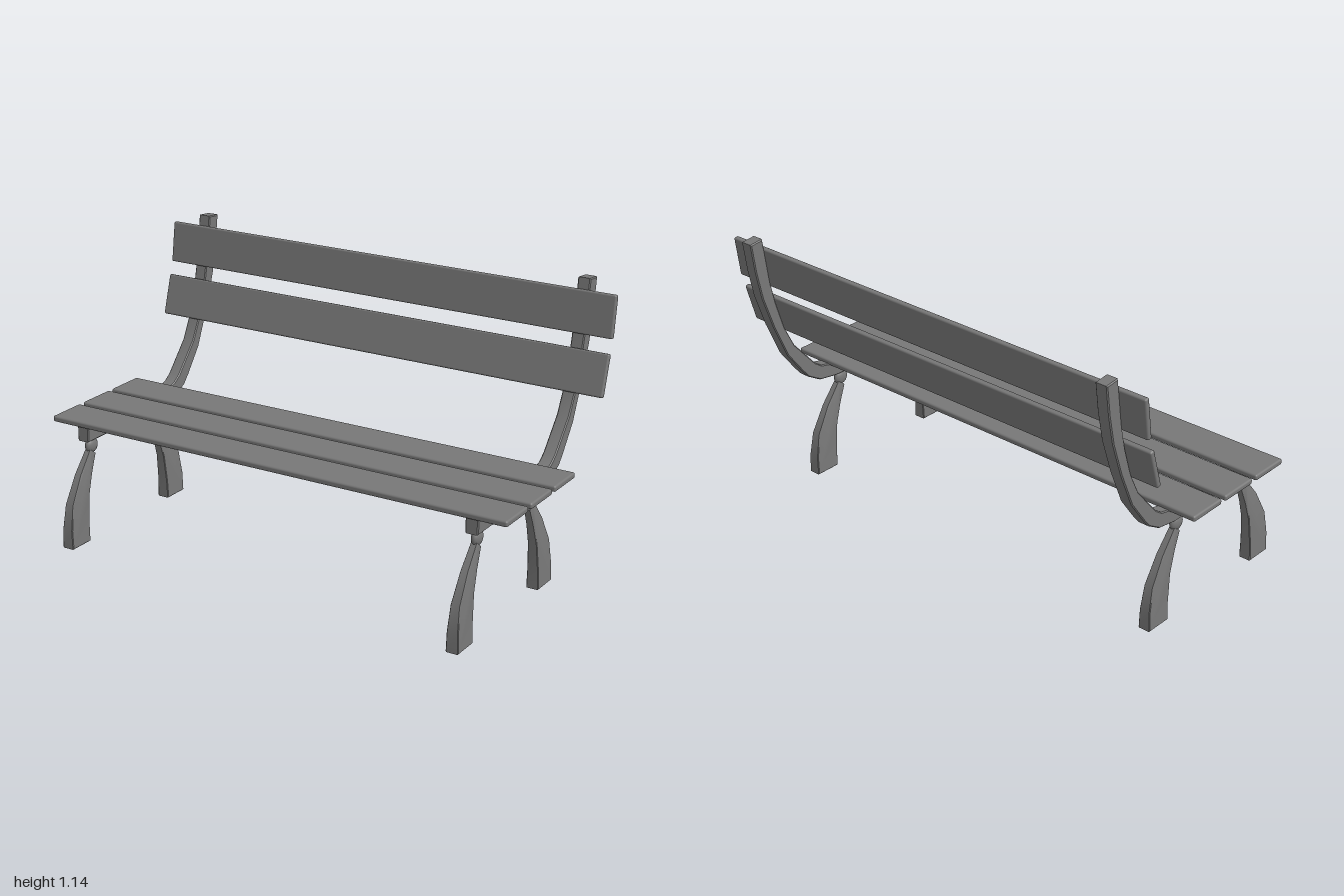
import * as THREE from 'three';
import { toCreasedNormals } from 'three/addons/utils/BufferGeometryUtils.js';
import { RoundedBoxGeometry } from 'three/addons/geometries/RoundedBoxGeometry.js';

const material = new THREE.MeshStandardMaterial({ color: 0x777777 });

// Extrude a side outline given as [z, y] points, centred on x = 0.
function sideExtrude(points, width, bevel) {
  const shape = new THREE.Shape(points.map(([z, y]) => new THREE.Vector2(z, y)));
  const geo = new THREE.ExtrudeGeometry(shape, {
    depth: width - 2 * bevel, bevelEnabled: true, bevelSegments: 1,
    bevelSize: bevel, bevelThickness: bevel, bevelOffset: -bevel,
  });
  geo.translate(0, 0, -(width - 2 * bevel) / 2);
  geo.rotateY(-Math.PI / 2);
  return geo;
}

export function createModel() {
  const bench = new THREE.Group();
  bench.name = 'bench';
  const add = (name, geo, x = 0, y = 0, z = 0) => {
    const mesh = new THREE.Mesh(geo, material);
    mesh.name = name;
    mesh.position.set(x, y, z);
    bench.add(mesh);
    return mesh;
  };

  // Curved side rail: seat support sweeping up into the backrest post
  const railGeo = toCreasedNormals(sideExtrude([
    [0.395, 0.413], [0.395, 0.478], [-0.13, 0.478], [-0.18, 0.49], [-0.215, 0.515],
    [-0.32, 0.635], [-0.368, 0.73], [-0.406, 0.85], [-0.43, 0.96], [-0.455, 1.136],
    [-0.515, 1.13], [-0.498, 1.01], [-0.472, 0.89], [-0.423, 0.75], [-0.357, 0.6],
    [-0.282, 0.5], [-0.252, 0.465], [-0.19, 0.428], [-0.1, 0.413],
  ], 0.052, 0.004), 0.6);

  // Curved leg, narrowing in width towards the joint
  let legGeo = sideExtrude([
    [0.405, 0], [0.515, 0], [0.515, 0.078], [0.497, 0.177], [0.437, 0.285], [0.365, 0.375],
    [0.336, 0.348], [0.366, 0.273], [0.391, 0.19], [0.403, 0.078],
  ], 0.052, 0.003);
  const pos = legGeo.attributes.position;
  for (let i = 0; i < pos.count; i++) {
    pos.setX(i, pos.getX(i) * (1 - 1.4 * pos.getY(i)));
  }
  legGeo.computeVertexNormals();
  legGeo = toCreasedNormals(legGeo, 0.6);

  // Flattened ball joint between leg and rail
  const ballGeo = new THREE.SphereGeometry(0.033, 24, 16).scale(0.55, 1, 1);

  // Rails and legs sit very slightly off the centre line
  for (const [side, railX, legX] of [['left', 0.857, 0.854], ['right', -0.861, -0.862]]) {
    add(side + 'Rail', railGeo, railX);
    add(side + 'FrontLeg', legGeo, legX);
    // The back leg is the front one turned round
    add(side + 'BackLeg', legGeo, legX, 0, 0.288).rotation.y = Math.PI;
    add(side + 'FrontJoint', ballGeo, legX, 0.384, 0.345);
    add(side + 'BackJoint', ballGeo, legX, 0.384, -0.057);
  }

  // Seat slats
  const seatGeo = new RoundedBoxGeometry(2, 0.024, 0.166, 2, 0.008);
  [0.323, 0.133, -0.056].forEach((z, i) => add('seatSlat' + (i + 1), seatGeo, 0, 0.485, z));

  // Backrest slats, tilted to follow the posts
  const backGeo = new RoundedBoxGeometry(2, 0.166, 0.022, 2, 0.007);
  add('lowerBackSlat', backGeo, 0, 0.797, -0.378).rotation.x = -0.29;
  add('upperBackSlat', backGeo, 0, 1.012, -0.43).rotation.x = -0.14;

  return bench;
}
